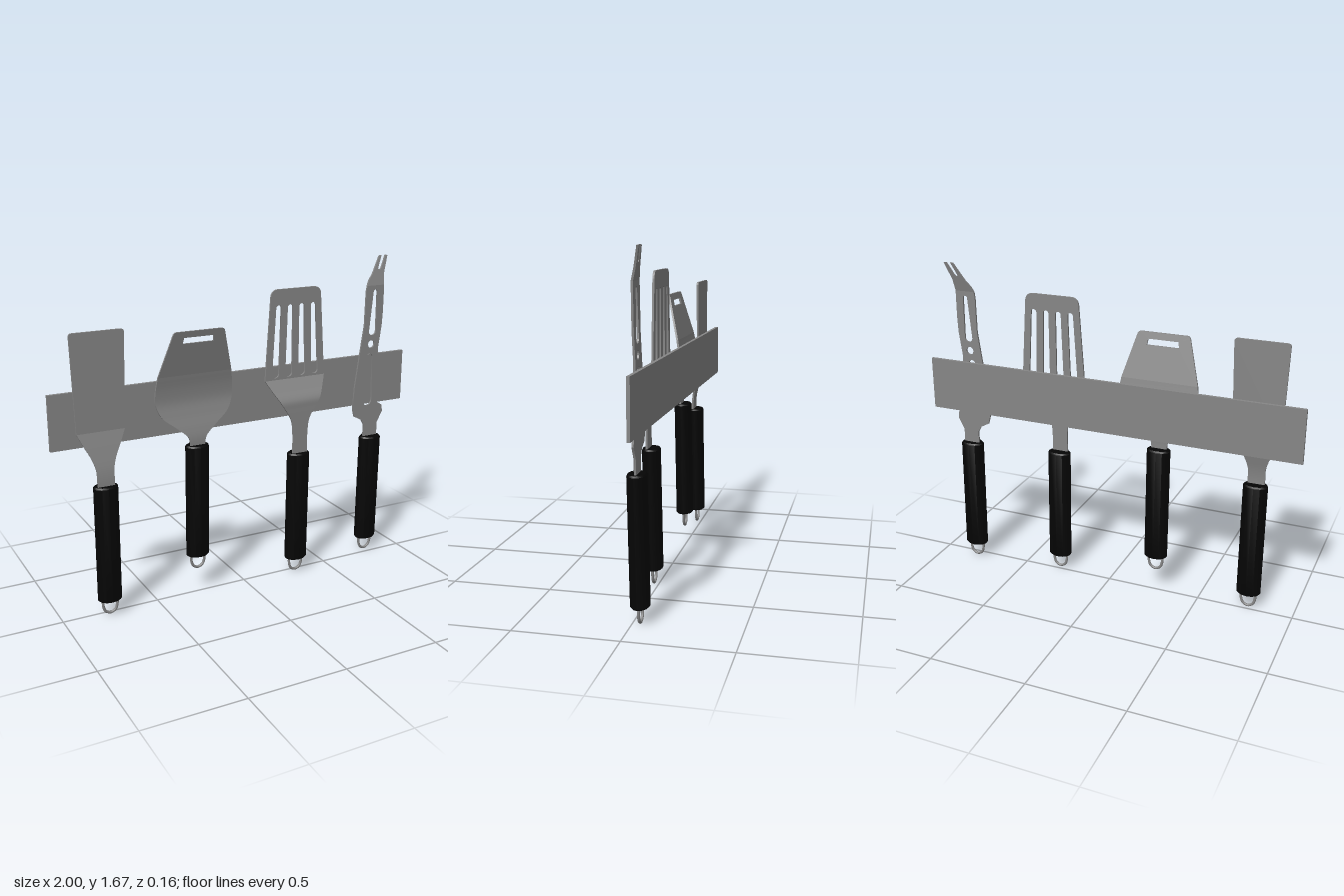
import * as THREE from 'three';
import { toCreasedNormals } from 'three/addons/utils/BufferGeometryUtils.js';

const metal = new THREE.MeshStandardMaterial({ color: 0x868686 });
const black = new THREE.MeshStandardMaterial({ color: 0x050505 });
const T = 0.01; // sheet thickness

function add(parent, name, geo, mat = metal) {
  const mesh = new THREE.Mesh(geo, mat);
  mesh.name = name;
  parent.add(mesh);
  return mesh;
}

// Flat sheet cut from a shape, leaning from z0 at y0 to z1 at y1
function sheet(shape, y0, z0, y1, z1) {
  const geo = new THREE.ExtrudeGeometry(shape, { depth: T, bevelEnabled: false, curveSegments: 10 });
  const p = geo.attributes.position;
  for (let i = 0; i < p.count; i++) {
    const k = (p.getY(i) - y0) / (y1 - y0);
    p.setZ(i, p.getZ(i) - T / 2 + z0 + (z1 - z0) * k);
  }
  return toCreasedNormals(geo, 0.6);
}

// Bent neck: rows of [half width, y, z] from bottom to top, joined by a smooth curve
function neck(rows) {
  const n = (rows.length - 1) * 5;
  const pts = new THREE.CatmullRomCurve3(rows.map(r => new THREE.Vector3(...r))).getPoints(n);
  const geo = new THREE.BoxGeometry(2, 1, T, 1, n, 1);
  const p = geo.attributes.position;
  for (let i = 0; i < p.count; i++) {
    const c = pts[Math.round((p.getY(i) + 0.5) * n)];
    p.setXYZ(i, p.getX(i) * c.x, c.y, p.getZ(i) + c.z);
  }
  geo.computeVertexNormals();
  return geo;
}

// Tapered head with rounded top corners
function headShape(w0, y0, w1, y1, r) {
  const s = new THREE.Shape();
  const k = (w0 - w1) / (y1 - y0) * r;
  s.moveTo(-w0, y0);
  s.lineTo(w0, y0);
  s.lineTo(w1 + k, y1 - r);
  s.quadraticCurveTo(w1, y1, w1 - r, y1);
  s.lineTo(-w1 + r, y1);
  s.quadraticCurveTo(-w1, y1, -w1 - k, y1 - r);
  s.closePath();
  return s;
}

// Round-ended slot between two circle centres
function slot(xa, ya, ra, xb, yb, rb) {
  const h = new THREE.Path();
  h.absarc(xb, yb, rb, 0, Math.PI, false);
  h.absarc(xa, ya, ra, Math.PI, Math.PI * 2, false);
  h.closePath();
  return h;
}

const polygon = pts => new THREE.Shape(pts.map(([x, y]) => new THREE.Vector2(x, y)));

// Grip with a hanging loop, leaning slightly
function handle(bottom, top, z) {
  const g = new THREE.Group();
  g.name = 'handle';
  const h = top - bottom;
  const profile = [[0, 0], [0.056, 0], [0.063, 0.008], [0.063, h - 0.008], [0.056, h], [0, h]];
  const grip = new THREE.LatheGeometry(profile.map(([x, y]) => new THREE.Vector2(x, y)), 12);
  grip.scale(1, 1, 0.72);
  add(g, 'grip', toCreasedNormals(grip, 0.6), black);
  const path = new THREE.CatmullRomCurve3(
    [[-0.036, 0.02], [-0.037, -0.03], [-0.026, -0.06], [0, -0.073], [0.026, -0.06], [0.037, -0.03], [0.036, 0.02]]
      .map(([x, y]) => new THREE.Vector3(x, y, 0)));
  add(g, 'hangingLoop', new THREE.TubeGeometry(path, 28, 0.007, 8));
  g.position.set(0, bottom, z);
  g.rotation.x = 0.02;
  return g;
}

function utensil(name, x, handleGroup) {
  const g = new THREE.Group();
  g.name = name;
  g.position.x = x;
  g.add(handleGroup);
  return g;
}

export function createModel() {
  const model = new THREE.Group();
  model.name = 'utensilRack';

  // Wall rail
  const rail = add(model, 'rail', new THREE.BoxGeometry(2, 0.275, 0.016));
  rail.position.set(0, 1.008, -0.043);

  // Narrow turner
  const turner = utensil('narrowTurner', -0.762, handle(0.08, 0.69, 0.024));
  add(turner, 'neck', neck([[0.043, 0.66, 0.046], [0.043, 0.72, 0.046], [0.044, 0.77, 0.041],
    [0.06, 0.825, 0.03], [0.092, 0.89, 0.015], [0.12, 0.95, 0]]));
  add(turner, 'blade', sheet(headShape(0.12, 0.95, 0.134, 1.432, 0.018), 0.95, 0, 1.432, 0.002));

  // Wide turner with a curved blade
  const wide = utensil('wideTurner', -0.265, handle(0.205, 0.81, -0.008));
  add(wide, 'curvedBlade', neck([[0.043, 0.78, 0.012], [0.045, 0.845, 0.012], [0.1, 0.9, 0.003],
    [0.178, 0.965, -0.013], [0.206, 1.03, -0.024], [0.206, 1.1, -0.02], [0.197, 1.17, -0.008]]));
  const wideHead = headShape(0.197, 1.17, 0.132, 1.397, 0.015);
  wideHead.holes.push(polygon([[-0.083, 1.335], [0.083, 1.335], [0.078, 1.365], [-0.078, 1.365]]));
  add(wide, 'blade', sheet(wideHead, 1.17, -0.008, 1.397, 0.051));

  // Slotted turner
  const slotted = utensil('slottedTurner', 0.303, handle(0.08, 0.69, 0.024));
  add(slotted, 'neck', neck([[0.043, 0.66, 0.05], [0.043, 0.8, 0.05], [0.053, 0.87, 0.05],
    [0.087, 0.93, 0.05], [0.117, 0.975, 0.047], [0.149, 1.03, 0.016], [0.175, 1.08, -0.013]]));
  const slottedHead = headShape(0.175, 1.08, 0.143, 1.545, 0.04);
  for (const k of [-1.5, -0.5, 0.5, 1.5]) {
    slottedHead.holes.push(slot(k * 0.077, 1.11, 0.02, k * 0.067, 1.45, 0.015));
  }
  add(slotted, 'blade', sheet(slottedHead, 1.08, -0.013, 1.545, -0.013));

  // Carving fork
  const fork = utensil('carvingFork', 0.795, handle(0.08, 0.69, -0.035));
  const body = polygon([[0.043, 0.66], [0.043, 0.76], [0.075, 0.82], [0.07, 0.855], [0.04, 0.875],
    [0.031, 0.9], [0.028, 1.18], [0.045, 1.3], [0.049, 1.38], [0.049, 1.52], [-0.056, 1.52],
    [-0.061, 1.49], [-0.064, 1.31], [-0.09, 1.13], [-0.112, 0.97], [-0.118, 0.85],
    [-0.107, 0.81], [-0.06, 0.785], [-0.043, 0.755], [-0.043, 0.66]]);
  body.holes.push(
    slot(-0.028, 0.893, 0.028, -0.026, 1.135, 0.02),
    slot(-0.017, 1.205, 0.02, -0.017, 1.206, 0.02),
    slot(-0.013, 1.275, 0.022, -0.004, 1.485, 0.012));
  add(fork, 'body', sheet(body, 0.66, -0.026, 1.52, -0.02));
  const tines = polygon([[-0.056, 1.52], [0.049, 1.52], [0.055, 1.58], [0.087, 1.668], [0.075, 1.67],
    [0.04, 1.605], [0.03, 1.596], [0.02, 1.605], [0.05, 1.67], [0.036, 1.668], [-0.016, 1.58], [-0.045, 1.545]]);
  add(fork, 'tines', sheet(tines, 1.52, -0.02, 1.67, -0.056));

  model.add(turner, wide, slotted, fork);
  return model;
}
